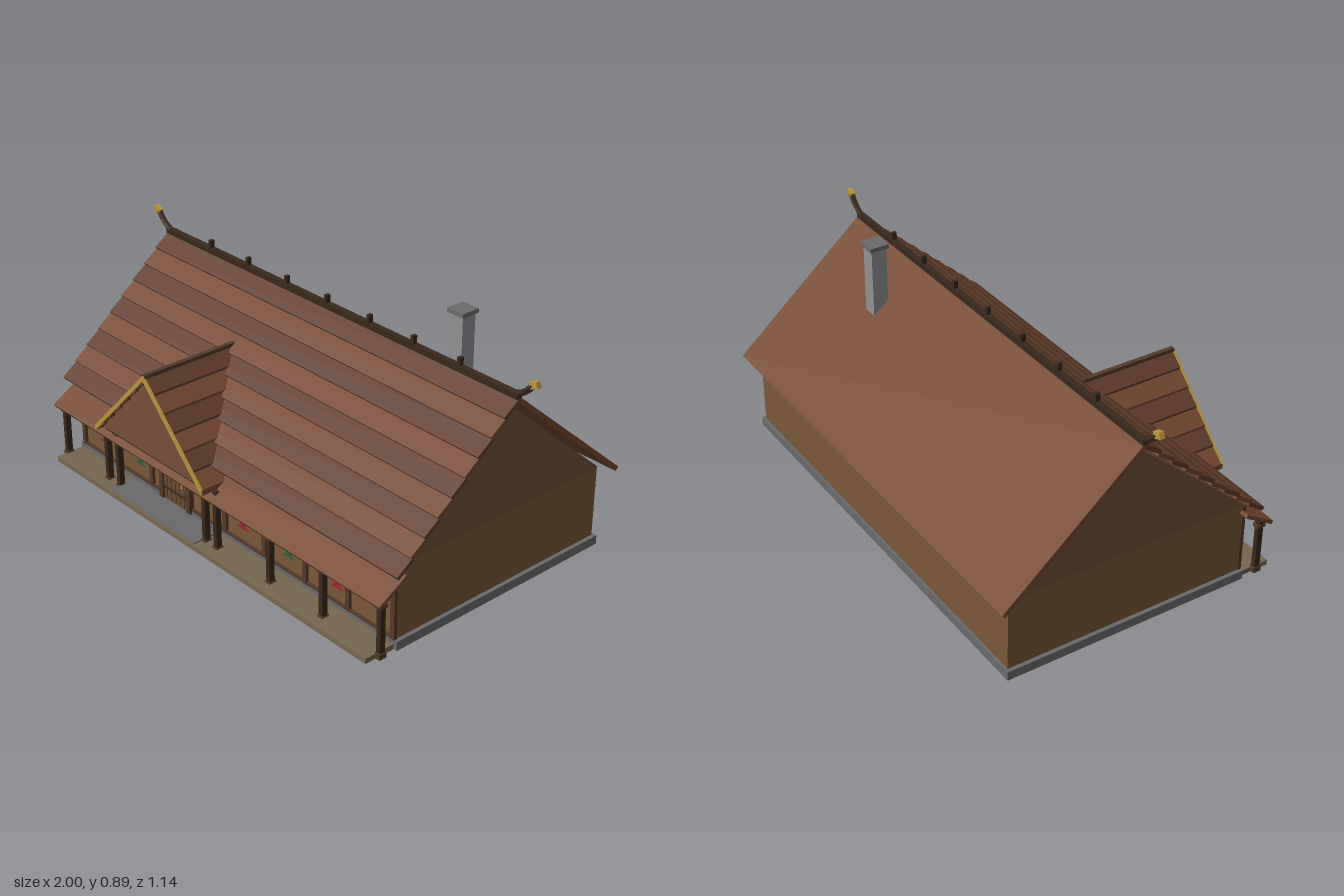
import * as THREE from 'three';

const C = {
  roof: 0x75482f, roofDark: 0x613c2b, wall: 0x7a5838, gable: 0x735037, timber: 0x3a281d, wood: 0x553a27,
  stone: 0x6a6a6c, chimney: 0x919195, deck: 0x776750, gold: 0xb8963a, red: 0xa02434, green: 0x2f6238, glass: 0xe3c681,
};
const mats = {};
const mat = (c) => (mats[c] ??= new THREE.MeshStandardMaterial({ color: c, flatShading: true, side: THREE.DoubleSide }));

export function createModel() {
  const root = new THREE.Group();
  const add = (name, geo, color, parent = root) => {
    const m = new THREE.Mesh(geo, mat(color));
    m.name = name;
    parent.add(m);
    return m;
  };
  const box = (name, color, w, h, d, x, y, z, parent) => {
    const m = add(name, new THREE.BoxGeometry(w, h, d), color, parent);
    m.position.set(x, y, z);
    return m;
  };
  const group = (name, x = 0, y = 0, z = 0) => {
    const g = new THREE.Group();
    g.name = name;
    g.position.set(x, y, z);
    root.add(g);
    return g;
  };
  const poly = (pts) => new THREE.Shape(pts.map((p) => new THREE.Vector2(p[0], p[1])));
  const extrude = (pts, depth) => new THREE.ExtrudeGeometry(poly(pts), { depth, bevelEnabled: false, curveSegments: 8 });
  // Sloping board along x between two (z, y) points
  const slab = (name, color, width, thick, a, b, parent) => {
    const dz = b[0] - a[0], dy = b[1] - a[1];
    const m = box(name, color, width, thick, Math.hypot(dz, dy), 0, (a[1] + b[1]) / 2, (a[0] + b[0]) / 2, parent);
    m.rotation.x = Math.atan2(-dy, dz);
    return m;
  };

  // Base, walls and gables
  box('foundation', C.stone, 1.77, 0.035, 0.975, 0, 0.0175, -0.0425);
  box('walls', C.wall, 1.74, 0.28, 0.955, 0, 0.175, -0.0425);
  const gables = add('gables', extrude([[-0.435, 0.315], [0.52, 0.315], [0.04, 0.73]], 1.74), C.gable);
  gables.rotation.y = Math.PI / 2;
  gables.position.x = -0.87;

  // Main roof: plain back slope, stepped courses on the front slope
  const RZ = -0.04, RY = 0.765, SLOPE = 0.885;
  slab('backRoof', C.roof, 1.84, 0.018, [RZ, RY - 0.002], [-0.568, 0.308]);
  const front = group('frontRoof');
  const rows = 9;
  for (let i = 0; i < rows; i++) {
    const at = (t, lift) => [RZ + 0.515 * t + 0.66 * lift, RY - 0.456 * t + 0.75 * lift];
    slab('roofCourse', i % 2 ? C.roof : C.roofDark, 1.84, 0.015, at(i / rows, -0.005), at((i + 1.05) / rows, 0.004), front);
  }

  // Ridge beam with pegs and upturned horns
  box('ridgeBeam', C.timber, 1.84, 0.022, 0.022, 0, 0.776, RZ);
  for (let i = -3; i <= 3; i++) box('ridgePeg', C.timber, 0.014, 0.032, 0.018, i * 0.218, 0.8, RZ);
  for (const s of [-1, 1]) {
    const v = (x, y) => new THREE.Vector3(s * x, y, RZ);
    const curve = new THREE.QuadraticBezierCurve3(v(0.89, 0.776), v(0.945, 0.79), v(0.975, 0.838));
    add('ridgeHorn', new THREE.TubeGeometry(curve, 6, 0.012, 6), C.timber);
    const tip = box('hornTip', C.gold, 0.034, 0.024, 0.02, s * 0.981, 0.84, RZ);
    tip.rotation.z = s * 0.35;
  }

  // Chimney
  box('chimney', C.chimney, 0.06, 0.29, 0.06, 0.5, 0.73, -0.205);
  box('chimneyCap', C.stone, 0.075, 0.016, 0.075, 0.5, 0.88, -0.205);

  // Porch deck, roof and posts
  box('porchDeck', C.deck, 1.74, 0.02, 0.13, 0, 0.01, 0.503);
  slab('porchRoof', C.roof, 1.81, 0.014, [0.425, 0.288], [0.542, 0.218]);
  box('porchBeam', C.timber, 1.78, 0.018, 0.02, 0, 0.222, 0.512);
  const PX = -0.28;
  const postXs = [[-0.875, 0.225], [-0.605, 0.25], [-0.535, 0.262], [-0.022, 0.262], [0.042, 0.25], [0.33, 0.225], [0.6, 0.225], [0.878, 0.225]];
  for (const [x, top] of postXs) {
    const p = group('porchPost', x, 0, 0.51);
    box('shaft', C.timber, 0.019, top, 0.022, 0, top / 2, 0, p);
    box('postBase', C.wood, 0.024, 0.022, 0.032, 0, 0.014, 0, p);
    box('capital', C.wood, 0.026, 0.014, 0.034, 0, top - 0.022, 0, p);
  }
  box('doorStep', C.stone, 0.5, 0.006, 0.11, PX, 0.022, 0.505);

  // Entrance gable: roof boards whose back ends follow the main roof slope
  const entrance = group('entranceGable', PX, 0, 0);
  const edge = (t, lift) => [0.315 * t, 0.588 - 0.322 * t + lift];
  const strip = (s, t0, t1, l0, l1, thick) => {
    const [a, b] = [edge(t0, l0), edge(t1, l1)];
    return [a, b, [b[0], b[1] - thick], [a[0], a[1] - thick]].map(([x, y]) => [s * x, y]);
  };
  for (const s of [-1, 1]) {
    for (let i = 0; i < 6; i++) {
      const geo = extrude(strip(s, i / 6, (i + 1) / 6, -0.004, 0.005, 0.022), 1);
      const p = geo.attributes.position;
      for (let k = 0; k < p.count; k++) {
        p.setZ(k, p.getZ(k) > 0.5 ? 0.565 : RZ + (RY - p.getY(k)) / SLOPE - 0.05);
      }
      geo.computeVertexNormals();
      add('entranceRoofCourse', geo, i % 2 ? C.roof : C.roofDark, entrance);
    }
    const trim = add('goldTrim', extrude(strip(s, 0, 1, 0.005, 0.005, 0.021), 0.008), C.gold, entrance);
    trim.position.z = 0.562;
  }
  const panel = add('gablePanel', extrude([[-0.295, 0.268], [0.295, 0.268], [0, 0.57]], 0.015), C.gable, entrance);
  panel.position.z = 0.535;
  box('gableBeam', C.timber, 0.58, 0.016, 0.03, 0, 0.262, 0.525, entrance);
  box('entranceRidge', C.wood, 0.018, 0.014, 0.405, 0, 0.588, 0.363, entrance);

  // Front wall studs and plates
  for (let i = -4; i <= 4; i++) {
    if (i !== -1) box('wallStud', C.wood, 0.02, 0.275, 0.014, i * 0.2155, 0.172, 0.439);
  }
  box('sillPlate', C.wood, 1.74, 0.012, 0.014, 0, 0.039, 0.438);

  // Arched door with a ring of blocks
  const door = group('door', PX, 0, 0.435);
  const arch = new THREE.Shape();
  arch.moveTo(-0.07, 0.025).lineTo(0.07, 0.025).lineTo(0.07, 0.175);
  arch.absarc(0, 0.175, 0.07, 0, Math.PI).lineTo(-0.07, 0.025);
  add('doorLeaf', new THREE.ExtrudeGeometry(arch, { depth: 0.012, bevelEnabled: false, curveSegments: 10 }), 0x6b4a30, door);
  for (let i = -2; i <= 2; i++) box('doorSeam', C.wood, 0.003, 0.2, 0.004, i * 0.025, 0.127, 0.012, door);
  for (const y of [0.075, 0.16]) box('doorBand', C.timber, 0.13, 0.008, 0.005, 0, y, 0.014, door);
  box('doorHandle', C.gold, 0.008, 0.016, 0.008, 0.045, 0.12, 0.016, door);
  for (const s of [-1, 1]) box('doorJamb', C.wood, 0.022, 0.155, 0.024, s * 0.08, 0.1, 0.008, door);
  for (let i = 0; i < 9; i++) {
    const a = (Math.PI * (i + 0.5)) / 9;
    const b = box('archBlock', i % 2 ? C.wood : C.timber, 0.022, 0.027, 0.026, Math.cos(a) * 0.081, 0.175 + Math.sin(a) * 0.081, 0.008, door);
    b.rotation.z = a;
  }

  // Windows with shutters
  for (const x of [-0.605, 0.455, 0.71]) {
    const w = group('window', x, 0.19, 0.437);
    box('frame', C.wood, 0.07, 0.078, 0.01, 0, 0, 0, w);
    box('glass', C.glass, 0.056, 0.064, 0.006, 0, 0, 0.004, w);
    box('mullion', C.wood, 0.005, 0.064, 0.006, 0, 0, 0.006, w);
    box('crossBar', C.wood, 0.056, 0.005, 0.006, 0, 0, 0.006, w);
    for (const s of [-1, 1]) box('shutter', C.wood, 0.026, 0.074, 0.008, s * 0.048, 0, 0.004, w);
  }

  // Hanging banners with a flared tail
  const half = [[0.034, 0.252], [0.034, 0.137], [0.012, 0.126], [0.01, 0.117], [0.031, 0.104]];
  const outline = [...half, ...half.map(([x, y]) => [-x, y]).reverse()];
  [-0.715, -0.49, 0.108, 0.355, 0.6].forEach((x, i) => {
    const b = group('banner', x, 0, 0.447);
    add('cloth', extrude(outline, 0.004), i % 2 ? C.green : C.red, b);
    box('bannerRod', C.timber, 0.08, 0.007, 0.009, 0, 0.253, 0.002, b);
  });

  return root;
}
